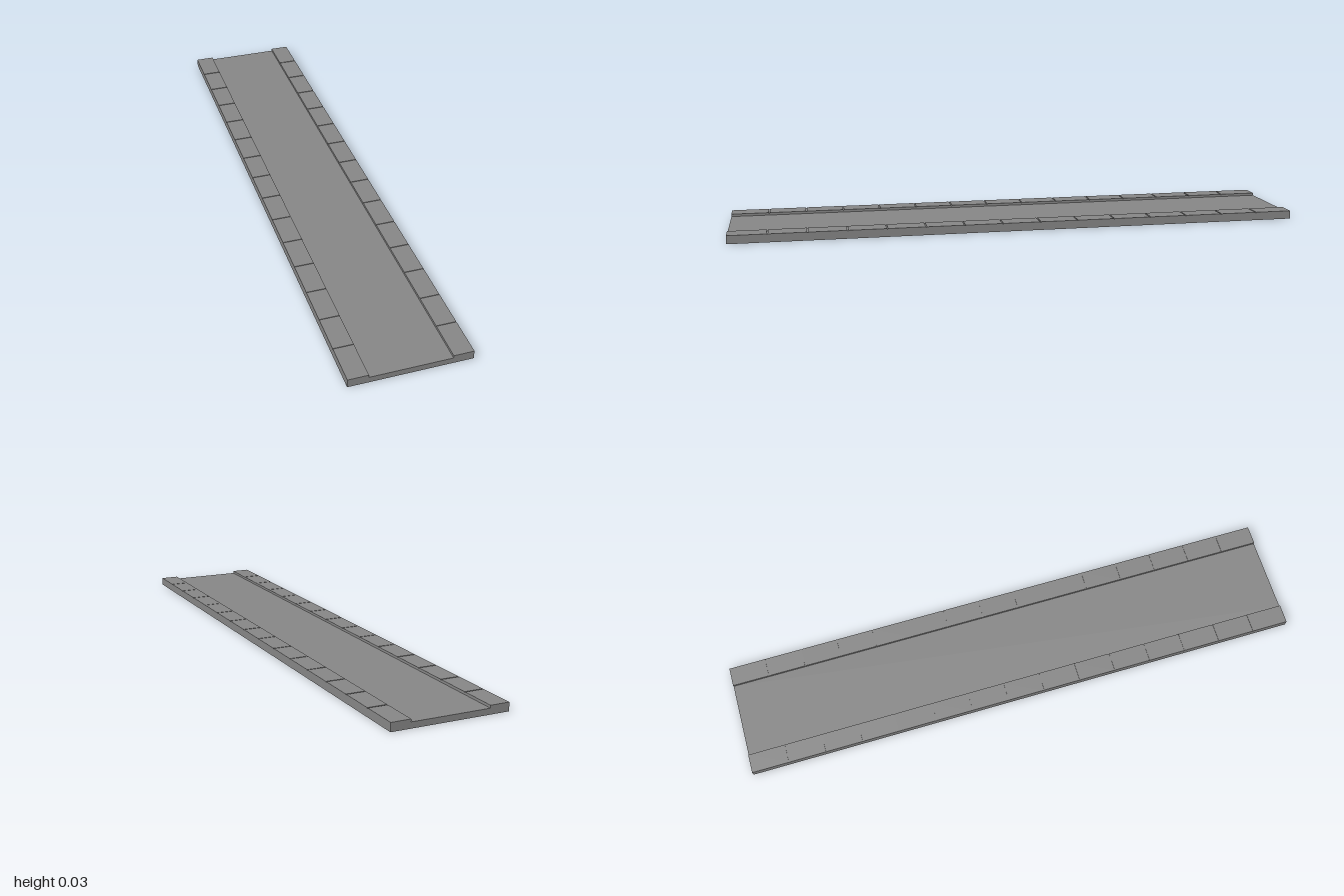
import * as THREE from 'three';

const HALF_WIDTH = 0.2, ROAD_HALF = 0.1335, ROAD_TOP = 0.02, CURB_TOP = 0.029;
const SLABS = 15, GROOVE = 0.002, GROOVE_DEPTH = 0.002;

export function createModel() {
  const group = new THREE.Group();
  const material = new THREE.MeshStandardMaterial({ color: 0x868686, flatShading: true });

  // Flat carriageway between the two pavements
  const road = new THREE.Mesh(new THREE.BoxGeometry(ROAD_HALF * 2, ROAD_TOP, 2), material);
  road.name = 'roadSurface';
  road.position.y = ROAD_TOP / 2;
  group.add(road);

  // Side profile of a pavement: a long bar with a narrow square slot between slabs
  const profile = new THREE.Shape();
  profile.moveTo(-1, 0);
  profile.lineTo(1, 0);
  profile.lineTo(1, CURB_TOP);
  for (let i = SLABS - 1; i > 0; i--) {
    const z = -1 + (2 * i) / SLABS;
    profile.lineTo(z + GROOVE, CURB_TOP);
    profile.lineTo(z + GROOVE, CURB_TOP - GROOVE_DEPTH);
    profile.lineTo(z - GROOVE, CURB_TOP - GROOVE_DEPTH);
    profile.lineTo(z - GROOVE, CURB_TOP);
  }
  profile.lineTo(-1, CURB_TOP);
  profile.closePath();

  const width = HALF_WIDTH - ROAD_HALF;
  const pavement = new THREE.ExtrudeGeometry(profile, { depth: width, bevelEnabled: false });
  pavement.rotateY(-Math.PI / 2).translate(width / 2, 0, 0);

  // One raised pavement along each side
  for (const [name, side] of [['leftPavement', 1], ['rightPavement', -1]]) {
    const mesh = new THREE.Mesh(pavement, material);
    mesh.name = name;
    mesh.position.x = side * (ROAD_HALF + width / 2);
    group.add(mesh);
  }
  return group;
}
